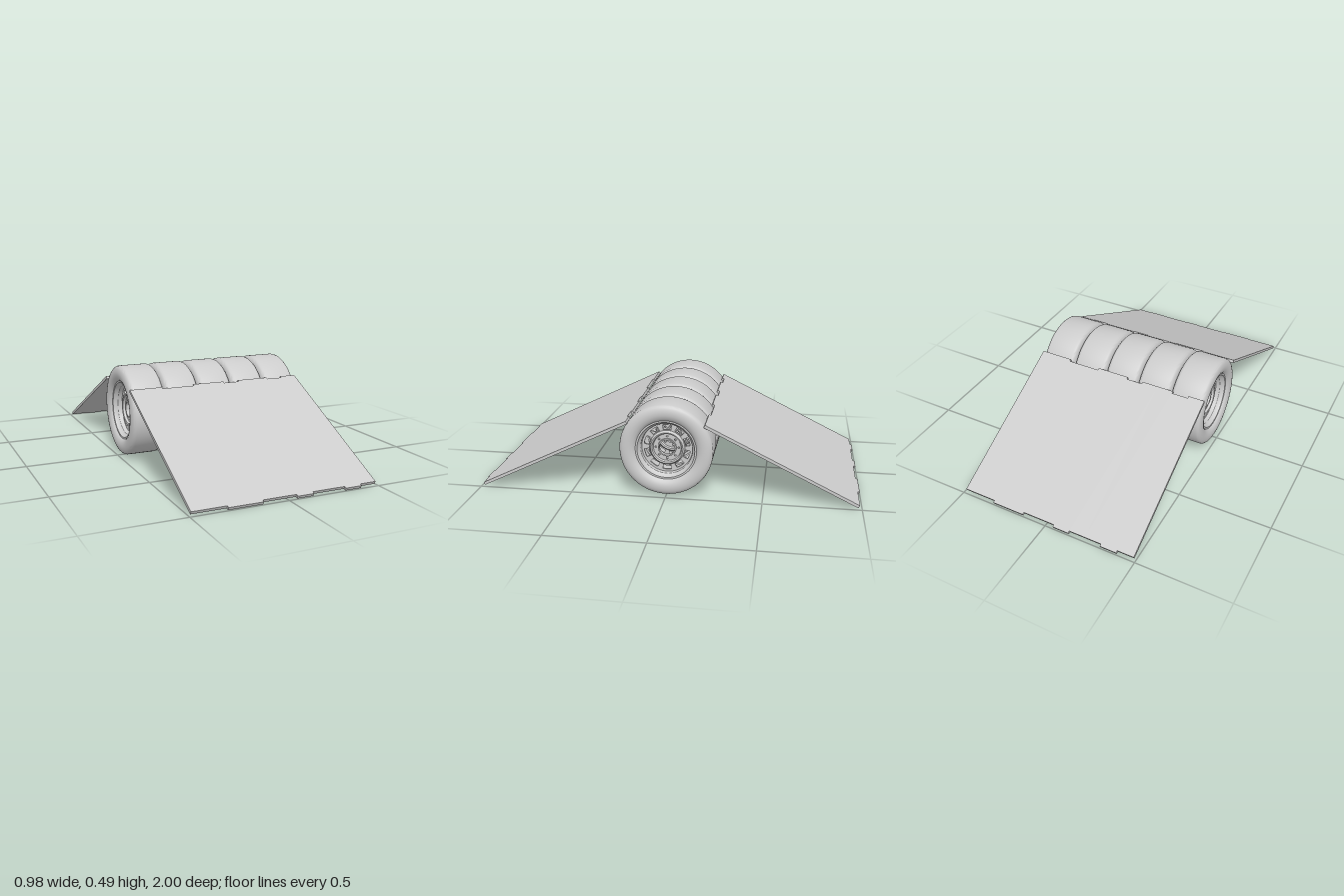
import * as THREE from 'three';
import { toCreasedNormals } from 'three/addons/utils/BufferGeometryUtils.js';

const grey = new THREE.MeshStandardMaterial({ color: 0xcccccc });
const v = (x, y) => new THREE.Vector2(x, y);

function part(name, geometry) {
  const mesh = new THREE.Mesh(geometry, grey);
  mesh.name = name;
  return mesh;
}

// Lathe of a closed [radius, offset] profile, turned so its axis lies along x
function ring(name, profile, segments = 64) {
  const points = profile.map(([r, o]) => v(r, o));
  points.push(points[0].clone());
  const g = new THREE.LatheGeometry(points, segments).rotateZ(-Math.PI / 2);
  return part(name, toCreasedNormals(g, 0.6));
}

// Flat wheel disc with a centre bore, bolt holes and ventilation slots
function discGeometry() {
  const shape = new THREE.Shape().absarc(0, 0, 0.138, 0, Math.PI * 2, false);
  const hole = (x, y, r) => shape.holes.push(new THREE.Path().absarc(x, y, r, 0, Math.PI * 2, true));
  hole(0, 0, 0.042);
  for (let i = 0; i < 8; i++) {
    const a = (i / 8) * Math.PI * 2;
    hole(Math.cos(a) * 0.06, Math.sin(a) * 0.06, 0.005);
  }
  for (let i = 0; i < 10; i++) {
    const a = Math.PI / 2 + (i / 10) * Math.PI * 2;
    const slot = new THREE.Path();
    slot.absarc(0, 0, 0.121, a - 0.19, a + 0.19, false);
    slot.absarc(0, 0, 0.097, a + 0.21, a - 0.21, true);
    slot.closePath();
    shape.holes.push(slot);
  }
  return new THREE.ExtrudeGeometry(shape, { depth: 0.01, bevelEnabled: false, curveSegments: 24 })
    .rotateY(Math.PI / 2);
}

function createWheel() {
  const wheel = new THREE.Group();
  wheel.name = 'wheel';

  // Tyre: rounded sidewalls mirrored about the centre of the tread
  const half = [[0.155, 0.07], [0.162, 0.083], [0.175, 0.092], [0.192, 0.097],
    [0.208, 0.097], [0.222, 0.094], [0.233, 0.089], [0.24, 0.082], [0.243, 0.072]];
  const lower = half.map(([r, o]) => [r, -o]);
  wheel.add(ring('tyre', [...lower, ...[...half].reverse()], 80));

  // Rim barrel with a lip at each side
  wheel.add(ring('rim', [[0.15, -0.078], [0.16, -0.078], [0.16, 0.078], [0.15, 0.078],
    [0.146, 0.066], [0.136, 0.055], [0.132, 0.02], [0.132, -0.02], [0.136, -0.055], [0.146, -0.066]]));

  // Disc, raised shoulder ring and hub collar
  const disc = part('wheelDisc', discGeometry());
  disc.position.x = 0.022;
  wheel.add(disc);
  wheel.add(ring('shoulderRing', [[0.07, 0.025], [0.094, 0.025], [0.09, 0.042], [0.084, 0.048], [0.077, 0.045]]));
  wheel.add(ring('hubCollar', [[0.041, 0.018], [0.05, 0.018], [0.048, 0.04], [0.041, 0.04]], 32));
  return wheel;
}

// Sloping ramp of planks, some slid slightly further down the slope
function createRamp() {
  const ramp = new THREE.Group();
  ramp.name = 'ramp';
  const count = 11, width = 0.98 / count, length = 0.875, slid = [2, 3, 6, 9];
  for (let i = 0; i < count; i++) {
    const plank = part('plank', new THREE.BoxGeometry(width, 0.016, length));
    const shift = slid.includes(i) ? 0.012 : 0;
    plank.position.set(-0.49 + width * (i + 0.5), 0, shift - length / 2);
    ramp.add(plank);
  }
  ramp.rotation.x = 0.456;
  ramp.position.set(0, 0.0135, 0.985);
  return ramp;
}

export function createModel() {
  const model = new THREE.Group();
  model.name = 'wheelJumpRamp';

  // Row of five wheels on one axis, dishes facing outward
  for (let i = -2; i <= 2; i++) {
    const wheel = createWheel();
    wheel.position.set(i * 0.196, 0.253, 0);
    if (i < 0) wheel.rotation.y = Math.PI;
    model.add(wheel);
  }

  // Front ramp and its half-turn copy at the back
  for (const turn of [0, Math.PI]) {
    const side = new THREE.Group();
    side.name = turn ? 'backRamp' : 'frontRamp';
    side.add(createRamp());
    side.rotation.y = turn;
    model.add(side);
  }
  return model;
}
